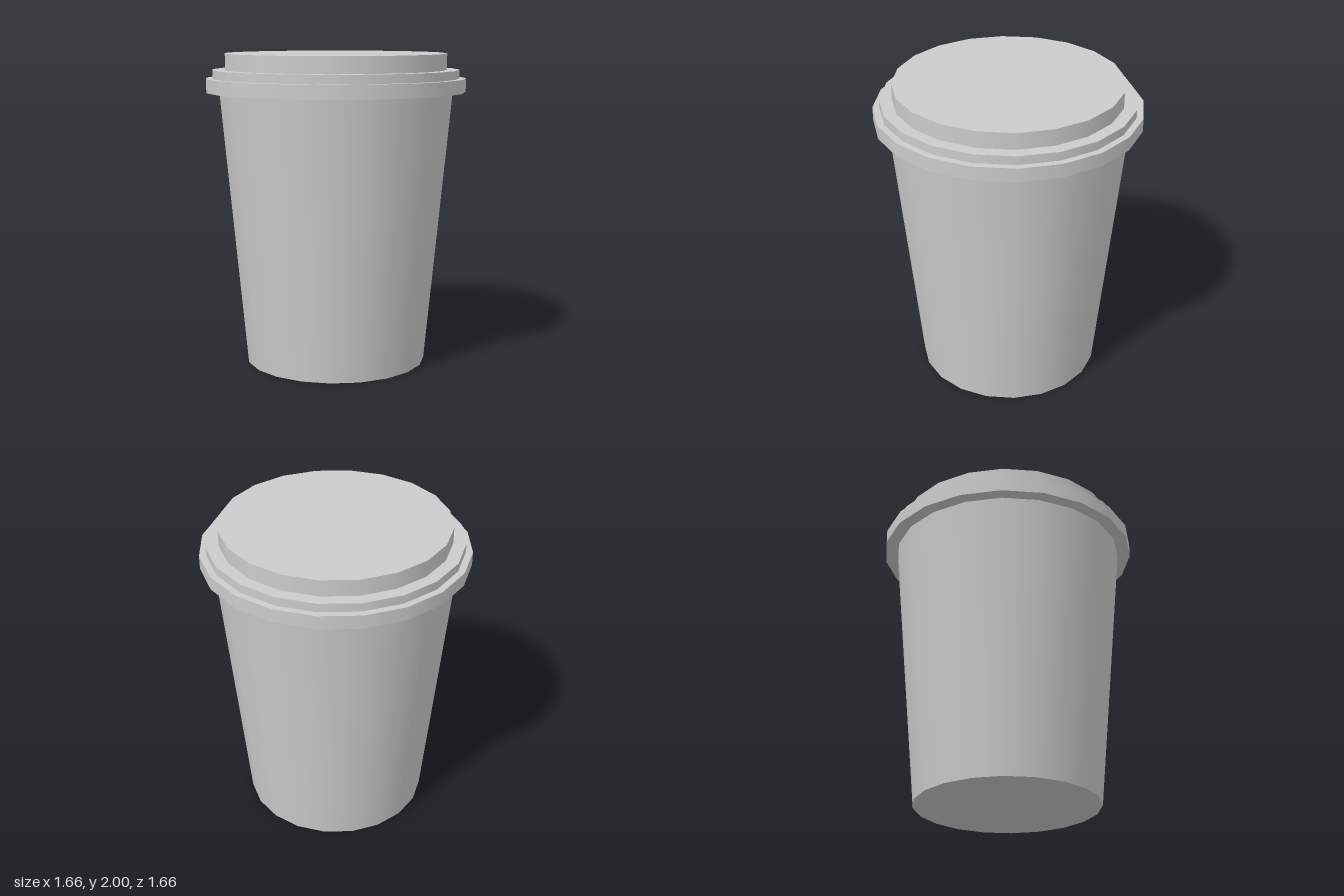
import * as THREE from 'three';

const SIDES = 20;

export function createModel() {
  const group = new THREE.Group();
  const material = new THREE.MeshStandardMaterial({ color: 0xcccccc });

  // Upright round section between two heights, smooth around its side
  function addSection(name, bottomRadius, topRadius, y0, y1) {
    const geometry = new THREE.CylinderGeometry(topRadius, bottomRadius, y1 - y0, SIDES);
    const mesh = new THREE.Mesh(geometry, material);
    mesh.name = name;
    mesh.position.y = (y0 + y1) / 2;
    group.add(mesh);
  }

  // Tapered cup
  addSection('cupBody', 0.585, 0.75, 0, 1.76);

  // Stepped lid: wide rim, narrower step, raised top
  addSection('lidRim', 0.832, 0.832, 1.757, 1.843);
  addSection('lidStep', 0.79, 0.79, 1.843, 1.897);
  addSection('lidTop', 0.711, 0.711, 1.897, 2);

  return group;
}
